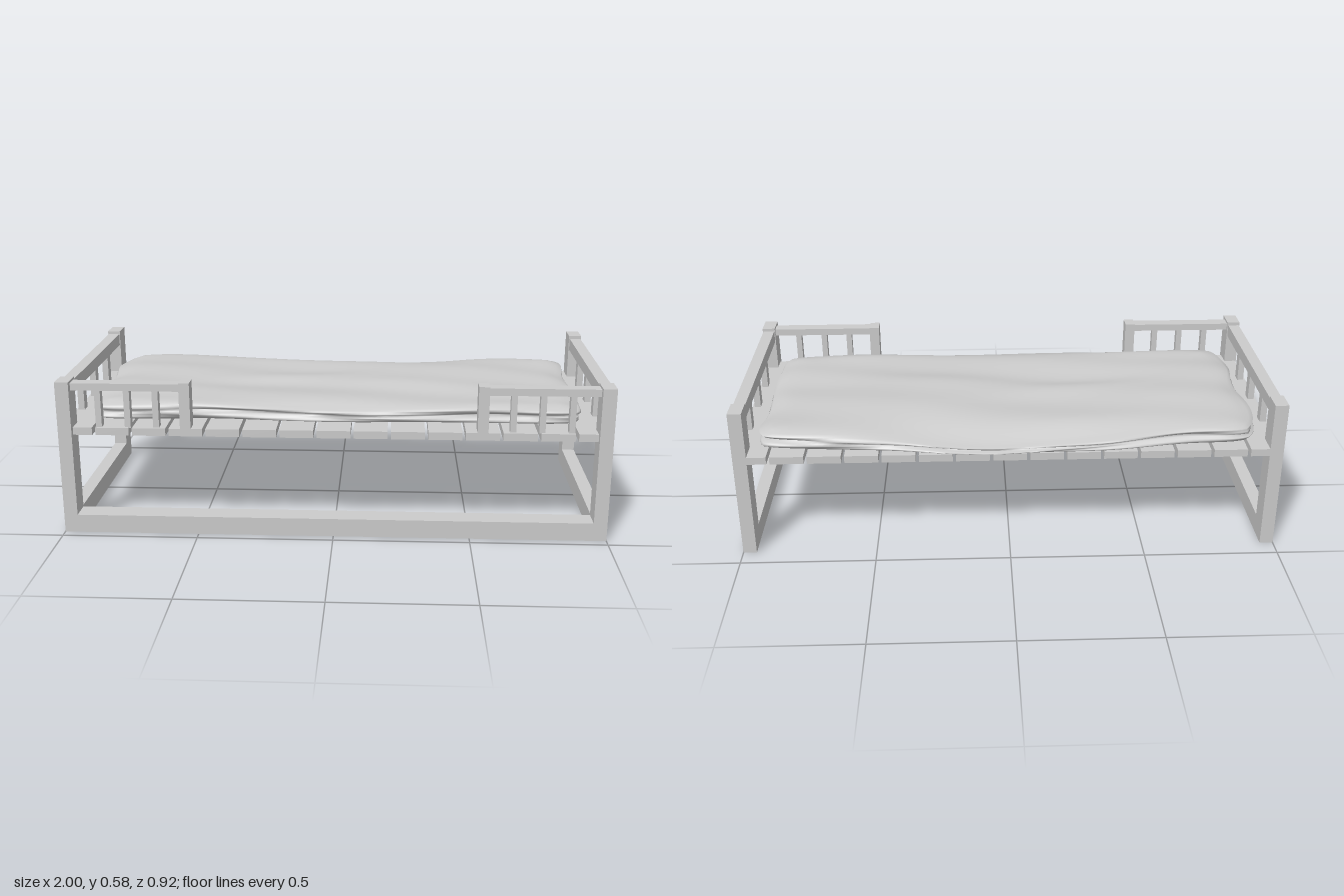
import * as THREE from 'three';
import { mergeVertices } from 'three/addons/utils/BufferGeometryUtils.js';

const material = new THREE.MeshStandardMaterial({ color: 0xcccccc });

// Box given by its minimum and maximum along each axis
function beam(parent, name, [x0, x1], [y0, y1], [z0, z1]) {
  const mesh = new THREE.Mesh(new THREE.BoxGeometry(x1 - x0, y1 - y0, z1 - z0), material);
  mesh.position.set((x0 + x1) / 2, (y0 + y1) / 2, (z0 + z1) / 2);
  mesh.name = name;
  parent.add(mesh);
}

const SLAT_Y = [0.374, 0.402];
const FRONT = [0.38, 0.464], BACK = [-0.43, -0.345];

// Legs, foot rail, head rail and spindles at one end; s is the side (+1 or -1)
function endFrame(s) {
  const g = new THREE.Group();
  g.name = s > 0 ? 'leftEndFrame' : 'rightEndFrame';
  const span = (a, b) => (s > 0 ? [a, b] : [-b, -a]);
  beam(g, 'frontLeg', span(0.95, 1), [0, 0.577], FRONT);
  beam(g, 'backLeg', span(0.95, 1), [0, 0.577], BACK);
  beam(g, 'footRail', span(0.95, 1), [0, 0.074], [BACK[1], FRONT[0]]);
  beam(g, 'topRail', span(0.953, 0.997), [0.518, 0.565], [BACK[1], FRONT[0]]);
  beam(g, 'lowerRail', span(0.955, 0.995), SLAT_Y, [BACK[1], FRONT[0]]);
  for (const z of [0.203, 0.015, -0.185])
    beam(g, 'endSpindle', span(0.963, 0.987), [0.4, 0.52], [z - 0.02, z + 0.02]);
  return g;
}

// Short guard on the front edge beside each end
function guard(s) {
  const g = new THREE.Group();
  g.name = s > 0 ? 'leftGuard' : 'rightGuard';
  const span = (a, b) => (s > 0 ? [a, b] : [-b, -a]);
  beam(g, 'guardPost', span(0.518, 0.557), [0.4, 0.573], [0.385, 0.443]);
  beam(g, 'guardRail', span(0.557, 0.95), [0.541, 0.568], [0.392, 0.44]);
  for (const x of [0.646, 0.75, 0.856])
    beam(g, 'guardSpindle', span(x - 0.011, x + 0.011), [0.4, 0.543], [0.4, 0.432]);
  return g;
}

// Slats divided by fourteen narrow gaps
function slats() {
  const g = new THREE.Group();
  g.name = 'slats';
  const pitch = 0.1345, gap = 0.006;
  const cuts = [-0.955];
  for (let i = 0; i < 14; i++) cuts.push((i - 6.5) * pitch);
  cuts.push(0.955);
  for (let i = 0; i < 15; i++) {
    const end = i === 0 || i === 14;
    const x0 = cuts[i] + (i === 0 ? 0 : gap), x1 = cuts[i + 1] - (i === 14 ? 0 : gap);
    beam(g, end ? 'endSlat' : 'slat', [x0, x1], SLAT_Y, [-0.43, 0.443]);
  }
  return g;
}

const bump = (a, c, w) => Math.exp(-(((a - c) / w) ** 2));

// Height of the rumpled bedding above the slats, u and v in -1..1
function beddingTop(u, v) {
  let h = 0.067;
  h += 0.013 * bump(u, -0.8, 0.3) + 0.011 * bump(u, 0.3, 0.3) * bump(v, -0.2, 0.7);
  h += 0.006 * bump(u, 0.65, 0.2);
  h += 0.004 * Math.sin(5 * u + 3.2 * v) + 0.003 * Math.sin(9 * v - 4 * u + 1);
  h += 0.008 * bump(v + 0.35 * u, -0.15, 0.16) * bump(u, -0.25, 0.35);
  h -= 0.007 * bump(v - 0.4 * u, 0.25, 0.2) * bump(u, 0.1, 0.5);
  h -= 0.03 * bump(v, -1, 0.2) * bump(u, 0, 0.55);           // back edge sags
  h -= 0.014 * Math.max(Math.abs(u) ** 24, Math.abs(v) ** 12); // soft rim
  return h;
}

// Closed block whose sides fold into two stacked layers
function bedding() {
  let geo = new THREE.BoxGeometry(2, 1, 2, 84, 10, 44);
  geo.deleteAttribute('normal');
  geo.deleteAttribute('uv');
  geo = mergeVertices(geo);
  const p = geo.attributes.position;
  for (let i = 0; i < p.count; i++) {
    const u = p.getX(i), t = p.getY(i) + 0.5, v = p.getZ(i);
    const crease = 0.55 + 0.08 * Math.sin(4 * u + 3 * v);
    const layer = t < crease ? t / crease : (t - crease) / (1 - crease);
    const inset = 0.02 * (2 * layer - 1) ** 4 + 0.006 * Math.sin(7 * u + 5 * v + 9 * t);
    // Wavy outline with rounded corners
    const halfX = 0.908 + 0.008 * Math.sin(6 * v + Math.sign(u)) - inset;
    const x = u * halfX * (1 - 0.03 * v ** 10);
    const zBack = 0.395 + 0.062 * bump(u, -0.05, 0.5) * (1 - 0.3 * t) + 0.005 * Math.sin(11 * u);
    const zFront = 0.362 + 0.008 * Math.sin(5 * u + 1);
    const z = v * ((v < 0 ? zBack : zFront) - inset) * (1 - 0.05 * u ** 20);
    const floor = 0.404 + 0.004 * Math.max(u ** 12, v ** 12);
    p.setXYZ(i, x, floor + t * beddingTop(u, v), z);
  }
  geo.computeVertexNormals();
  const mesh = new THREE.Mesh(geo, material);
  mesh.name = 'bedding';
  return mesh;
}

export function createModel() {
  const model = new THREE.Group();
  model.name = 'bed';
  for (const s of [1, -1]) model.add(endFrame(s), guard(s));
  beam(model, 'frontFootRail', [-0.95, 0.95], [0, 0.068], FRONT);
  model.add(slats(), bedding());
  return model;
}
